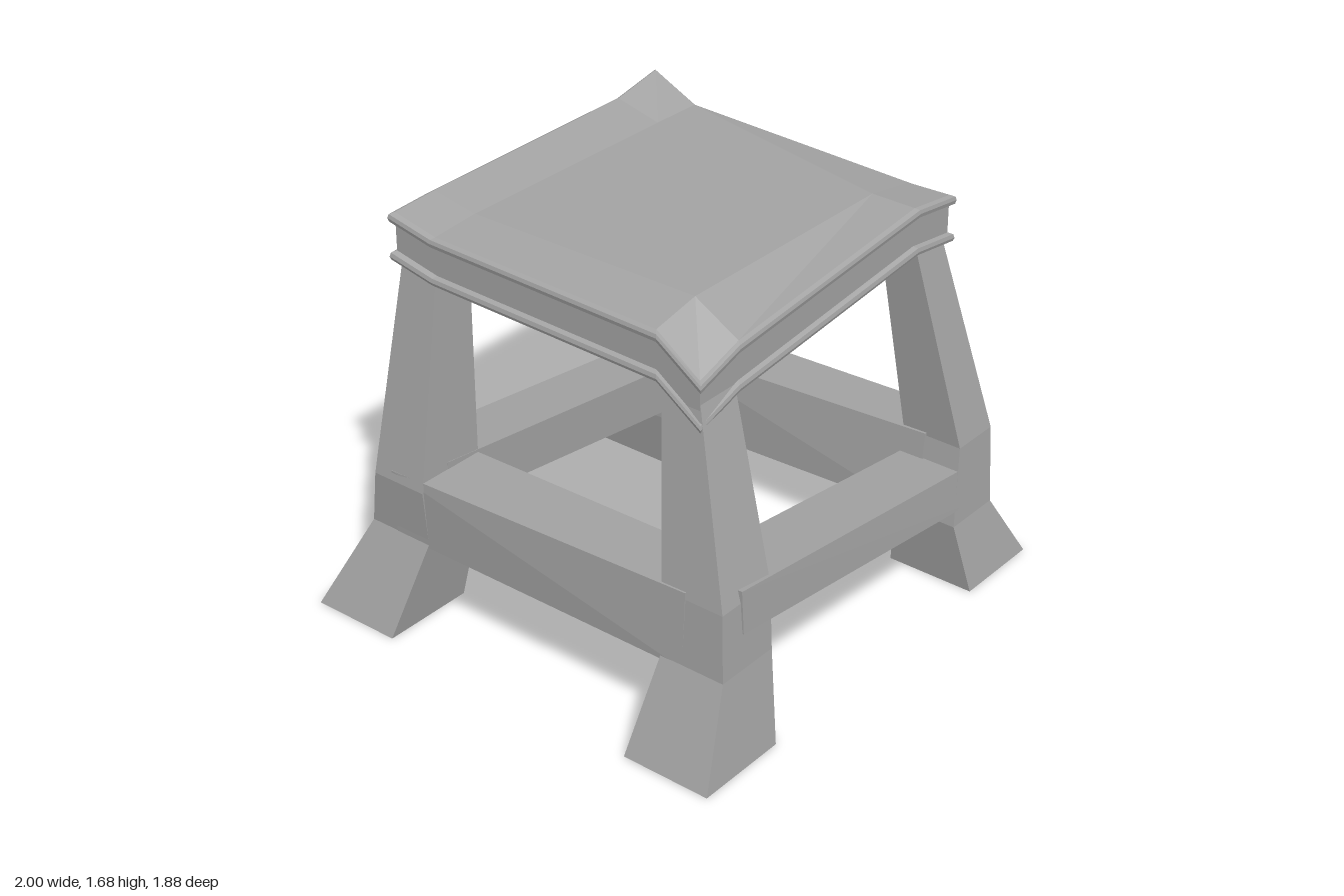
import * as THREE from 'three';

const stone = new THREE.MeshStandardMaterial({ color: 0xa3a3a3, flatShading: true });
stone.name = 'grey';

function meshFrom(tris, name) {
  const g = new THREE.BufferGeometry();
  g.setAttribute('position', new THREE.Float32BufferAttribute(tris.flat(2), 3));
  g.computeVertexNormals();
  const m = new THREE.Mesh(g, stone);
  m.name = name;
  return m;
}

// Joins rings of points (counter-clockwise seen from the last ring), with optional end caps
function loft(rings, caps = true) {
  const tris = [], n = rings[0].length;
  for (let i = 0; i + 1 < rings.length; i++) {
    for (let j = 0; j < n; j++) {
      const k = (j + 1) % n, a = rings[i], b = rings[i + 1];
      tris.push([a[j], a[k], b[k]], [a[j], b[k], b[j]]);
    }
  }
  if (caps) {
    const a = rings[0], b = rings[rings.length - 1];
    for (let j = 1; j + 1 < n; j++) tris.push([a[0], a[j + 1], a[j]], [b[0], b[j], b[j + 1]]);
  }
  return tris;
}

// Leg sections: [y, x min, x max, z min, z max]
const legs = {
  frontLeftSideLeg: [[0, -1, -0.61, 0.57, 0.94], [0.36, -0.84, -0.565, 0.605, 0.88],
    [0.62, -0.82, -0.555, 0.595, 0.86], [1.36, -0.7, -0.52, 0.5, 0.66]],
  frontRightSideLeg: [[0, 0.62, 1, 0.57, 0.94], [0.285, 0.58, 0.83, 0.605, 0.875],
    [0.6, 0.63, 0.84, 0.595, 0.85], [1.43, 0.555, 0.715, 0.495, 0.65]],
  backRightSideLeg: [[0, 0.62, 1, -0.94, -0.56], [0.26, 0.58, 0.83, -0.77, -0.5],
    [0.61, 0.575, 0.84, -0.735, -0.495], [1.5, 0.545, 0.71, -0.69, -0.53]],
  backLeftSideLeg: [[0, -1, -0.61, -0.94, -0.56], [0.36, -0.84, -0.565, -0.785, -0.5],
    [0.59, -0.86, -0.56, -0.74, -0.5], [1.45, -0.7, -0.53, -0.69, -0.53]],
};

// Rails along x: ends [x, bottom, top, z front low, z front high, z back low, z back high]
const crossRails = {
  frontRail: [[-0.72, 0.5, 0.67, 0.875, 0.865, 0.605, 0.6], [0.72, 0.33, 0.495, 0.87, 0.855, 0.605, 0.6]],
  backRail: [[-0.72, 0.465, 0.66, -0.5, -0.5, -0.77, -0.742], [0.72, 0.29, 0.49, -0.5, -0.5, -0.765, -0.742]],
};

// Rails along z: ends [z, bottom, top, x min low, x min high, x max low, x max high]
const sideRails = {
  leftSideRail: [[-0.66, 0.345, 0.628, -0.84, -0.855, -0.565, -0.56], [0.7, 0.345, 0.648, -0.84, -0.822, -0.565, -0.56]],
  rightSideRail: [[-0.66, 0.238, 0.57, 0.58, 0.58, 0.83, 0.838], [0.7, 0.282, 0.614, 0.58, 0.62, 0.83, 0.84]],
};

// Warped seat: height of the top surface at each crossing, rows from front to back
const seatX = [-0.73, -0.52, 0.53, 0.76];
const seatZ = [0.69, 0.5, -0.53, -0.73];
const seatY = [
  [1.415, 1.48, 1.585, 1.555],
  [1.545, 1.585, 1.587, 1.55],
  [1.57, 1.585, 1.587, 1.585],
  [1.61, 1.62, 1.635, 1.68],
];

function seatPoint(i, j, inset, drop) {
  const s = 1 - inset / 0.73;
  return [0.015 + (seatX[i] - 0.015) * s, seatY[j][i] - drop, -0.02 + (seatZ[j] + 0.02) * s];
}

function buildSeat() {
  const rim = [];
  for (let i = 0; i < 3; i++) rim.push([i, 0]);
  for (let j = 0; j < 3; j++) rim.push([3, j]);
  for (let i = 3; i > 0; i--) rim.push([i, 3]);
  for (let j = 3; j > 0; j--) rim.push([0, j]);
  // Edge profile from bottom to top: [inset, drop], with a lip at each end
  const profile = [[0.02, 0.192], [0.004, 0.187], [0, 0.175], [0.004, 0.16], [0.02, 0.152],
    [0.02, 0.045], [0.004, 0.037], [0, 0.022], [0.004, 0.008], [0.02, 0]];
  const tris = loft(profile.map(([inset, drop]) => rim.map(([i, j]) => seatPoint(i, j, inset, drop))), false);
  // Top and underside
  const under = (i, j) => seatPoint(i, j, 0.02, i % 3 && j % 3 ? 0.23 : 0.192);
  const top = (i, j) => seatPoint(i, j, 0.02, 0);
  for (let j = 0; j < 3; j++) {
    for (let i = 0; i < 3; i++) {
      const quad = (p) => [p(i, j), p(i + 1, j), p(i + 1, j + 1), p(i, j + 1)];
      const [a, b, c, d] = quad(top), [e, f, g, h] = quad(under);
      tris.push([a, b, c], [a, c, d], [e, g, f], [e, h, g]);
    }
  }
  return meshFrom(tris, 'seat');
}

export function createModel() {
  const group = new THREE.Group();
  group.name = 'stool';
  group.add(buildSeat());
  for (const [name, sections] of Object.entries(legs)) {
    group.add(meshFrom(loft(sections.map(([y, x0, x1, z0, z1]) =>
      [[x0, y, z1], [x1, y, z1], [x1, y, z0], [x0, y, z0]])), name));
  }
  for (const [name, ends] of Object.entries(crossRails)) {
    group.add(meshFrom(loft(ends.map(([x, y0, y1, fl, fh, bl, bh]) =>
      [[x, y0, fl], [x, y0, bl], [x, y1, bh], [x, y1, fh]])), name));
  }
  for (const [name, ends] of Object.entries(sideRails)) {
    group.add(meshFrom(loft(ends.map(([z, y0, y1, ll, lh, rl, rh]) =>
      [[ll, y0, z], [rl, y0, z], [rh, y1, z], [lh, y1, z]])), name));
  }
  return group;
}
